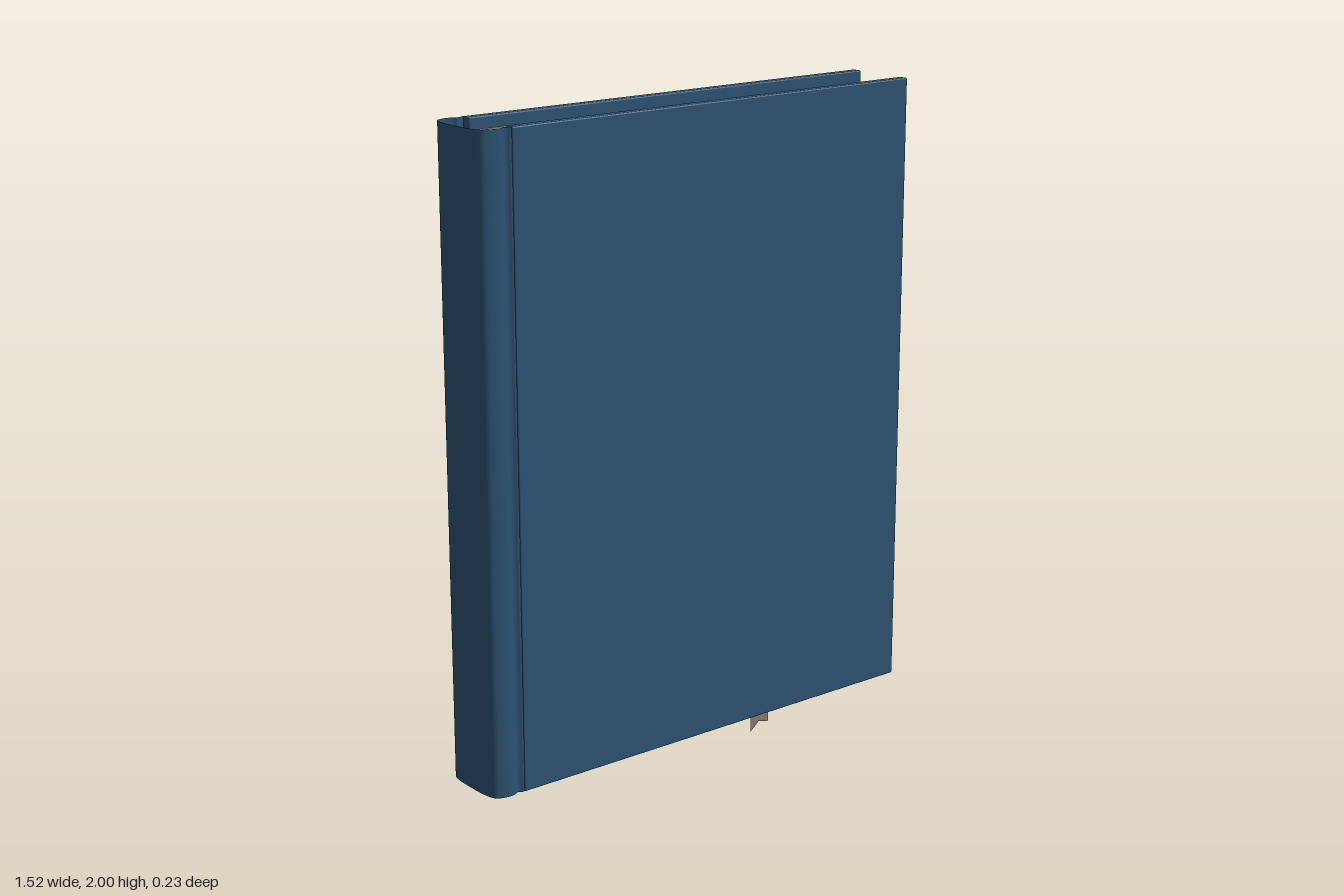
import * as THREE from 'three';
import { RoundedBoxGeometry } from 'three/addons/geometries/RoundedBoxGeometry.js';

const BOTTOM = 0.12, TOP = 2, MID = (BOTTOM + TOP) / 2;

export function createModel() {
  const book = new THREE.Group();
  book.name = 'book';

  const material = (name, color, side = THREE.FrontSide) => {
    const m = new THREE.MeshStandardMaterial({ color, side });
    m.name = name;
    return m;
  };
  const cloth = material('blue cloth', 0x2d5272);
  const spineCloth = material('blue spine cloth', 0x2d5272, THREE.DoubleSide);
  const paper = material('cream paper', 0xcfc6b2);
  const ribbonCloth = material('taupe ribbon', 0x8c8270, THREE.DoubleSide);

  const add = (name, geometry, mat, parent = book) => {
    const mesh = new THREE.Mesh(geometry, mat);
    mesh.name = name;
    parent.add(mesh);
    return mesh;
  };

  // Front and back boards
  for (const side of [1, -1]) {
    const board = add(side > 0 ? 'frontCover' : 'backCover',
      new RoundedBoxGeometry(1.42, TOP - BOTTOM, 0.03, 2, 0.004), cloth);
    board.position.set(0.05, MID, side * 0.1);
  }

  // Spine: a thin bent sheet with a hinge groove beside each board
  const half = [
    [-0.655, 0.109], [-0.664, 0.112], [-0.672, 0.107], [-0.682, 0.105], [-0.692, 0.111],
    [-0.705, 0.114], [-0.73, 0.111], [-0.749, 0.102], [-0.758, 0.085], [-0.763, 0.05],
  ];
  const mirrored = half.map(([x, z]) => [x, -z]).reverse();
  const curve = new THREE.CatmullRomCurve3(
    [...half, [-0.764, 0], ...mirrored].map(([x, z]) => new THREE.Vector3(x, 0, z)));
  const steps = 80;
  const spine = new THREE.PlaneGeometry(1, TOP - BOTTOM, steps, 1);
  const pos = spine.attributes.position;
  for (let i = 0; i < pos.count; i++) {
    const p = curve.getPoint(1 - (i % (steps + 1)) / steps);
    pos.setXYZ(i, p.x, pos.getY(i) + MID, p.z);
  }
  spine.computeVertexNormals();
  add('spine', spine, spineCloth);

  // Page block: stacked leaves with slightly uneven edges
  const pages = new THREE.Group();
  pages.name = 'pageBlock';
  book.add(pages);
  const leaves = 20, thickness = 0.166 / leaves;
  for (let i = 0; i < leaves; i++) {
    const right = 0.729 - 0.006 * ((i * 7) % 5) / 4;
    const left = -0.719 + 0.005 * ((i * 3) % 4) / 3;
    const height = 1.81 - 0.004 * ((i * 5) % 3);
    const leaf = add('leaf', new THREE.BoxGeometry(right - left, height, thickness), paper, pages);
    leaf.position.set((left + right) / 2, MID, -0.083 + (i + 0.5) * thickness);
  }

  // Ribbon bookmark with a swallowtail end, leaning slightly back
  const tail = new THREE.Shape([
    [0.276, 0.19], [0.285, 0], [0.318, 0.03], [0.355, 0.018], [0.347, 0.19],
  ].map(([x, y]) => new THREE.Vector2(x, y)));
  const ribbon = new THREE.ShapeGeometry(tail);
  const rp = ribbon.attributes.position;
  for (let i = 0; i < rp.count; i++) rp.setZ(i, -0.017 + 0.09 * rp.getY(i));
  ribbon.computeVertexNormals();
  add('ribbonBookmark', ribbon, ribbonCloth);

  return book;
}
